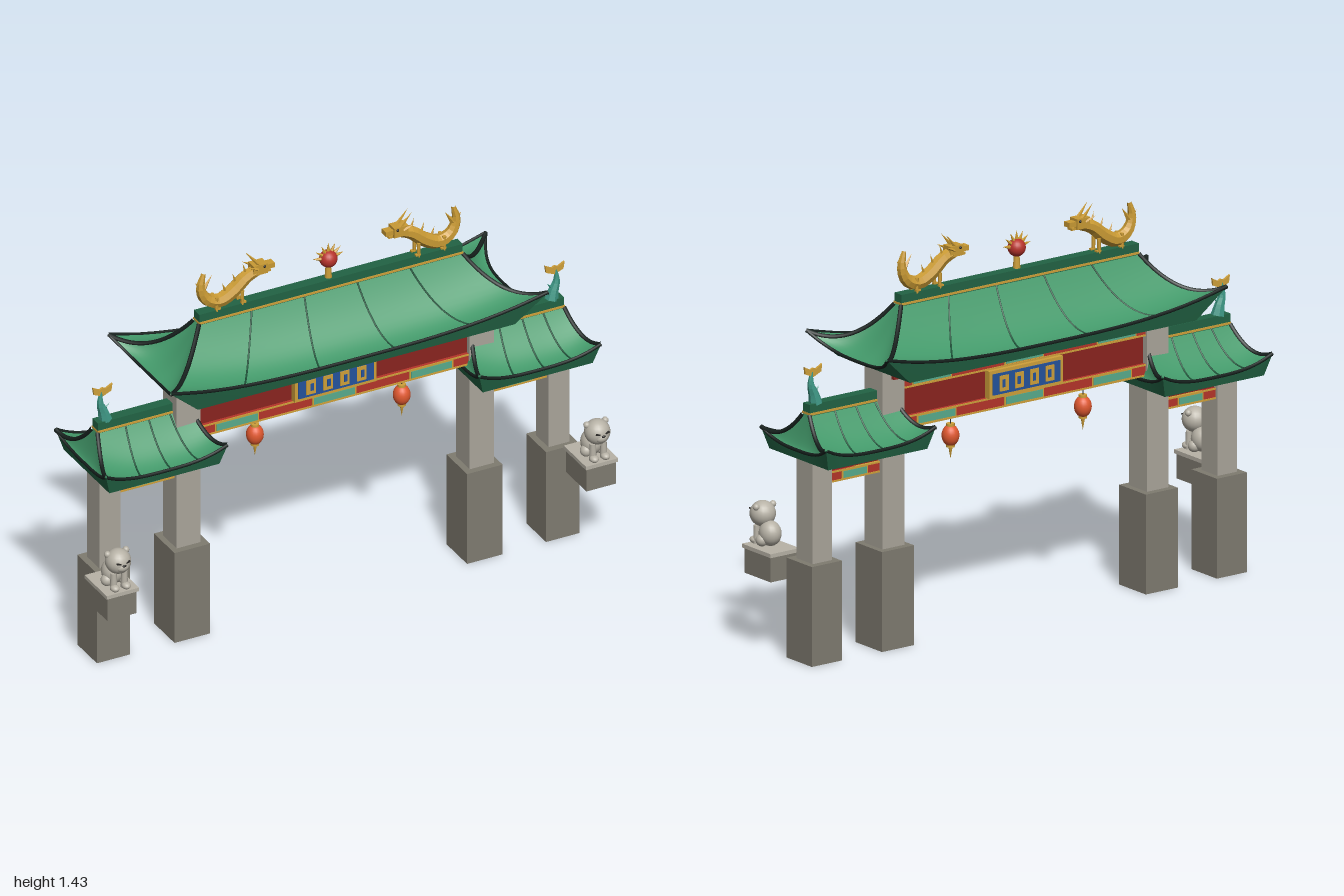
import * as THREE from 'three';
import { ParametricGeometry } from 'three/addons/geometries/ParametricGeometry.js';

const mat = (color, flatShading = false, side = THREE.FrontSide) =>
  new THREE.MeshStandardMaterial({ color, flatShading, side });
const M = {
  tile: mat(0x43996a, false, THREE.DoubleSide), darkTile: mat(0x226344, false, THREE.DoubleSide), rib: mat(0x1c5238),
  trim: mat(0x16201d), red: mat(0xb5352a), deepRed: mat(0x8a241f), gold: mat(0xcfa03a),
  goldFacet: mat(0xc99a34, true), teal: mat(0x58ab8c), fish: mat(0x3d9583, true), blue: mat(0x24539c),
  column: mat(0xaaa59a), base: mat(0x7f7b70), lion: mat(0xb8b3a7), dark: mat(0x2c2a28),
  lantern: mat(0xe0582f), pearl: mat(0xb8332b),
};
const lerp = THREE.MathUtils.lerp;
const V = (x, y, z = 0) => new THREE.Vector3(x, y, z);

function add(parent, name, geo, material, x = 0, y = 0, z = 0) {
  const m = new THREE.Mesh(geo, material);
  m.name = name;
  m.position.set(x, y, z);
  parent.add(m);
  return m;
}
const box = (p, name, m, w, h, d, x, y, z = 0) => add(p, name, new THREE.BoxGeometry(w, h, d), m, x, y, z);
const ball = (p, name, m, r, x, y, z = 0, sx = 1, sy = 1, sz = 1) => {
  const s = add(p, name, new THREE.SphereGeometry(r, 20, 14), m, x, y, z);
  s.scale.set(sx, sy, sz);
  return s;
};
// Cone whose base sits at a and whose tip is at b
function spike(p, name, m, a, b, r, sides = 6) {
  const d = b.clone().sub(a);
  const c = add(p, name, new THREE.ConeGeometry(r, d.length(), sides), m);
  c.position.copy(a).addScaledVector(d, 0.5);
  c.quaternion.setFromUnitVectors(V(0, 1, 0), d.normalize());
  return c;
}
function group(parent, name, x = 0, y = 0, z = 0) {
  const g = new THREE.Group();
  g.name = name;
  g.position.set(x, y, z);
  parent.add(g);
  return g;
}
const tube = (pts, r, seg = 24, sides = 6) =>
  new THREE.TubeGeometry(new THREE.CatmullRomCurve3(pts), seg, r, sides);
// Tube whose radius follows a rule along its length
function taperedTube(pts, radius, seg, sides) {
  const curve = new THREE.CatmullRomCurve3(pts);
  const geo = new THREE.TubeGeometry(curve, seg, 1, sides);
  const pos = geo.attributes.position, v = V(0, 0);
  for (let i = 0; i < pos.count; i++) {
    const u = Math.floor(i / (sides + 1)) / seg, c = curve.getPointAt(u);
    v.fromBufferAttribute(pos, i).sub(c).multiplyScalar(radius(u)).add(c);
    pos.setXYZ(i, v.x, v.y, v.z);
  }
  geo.computeVertexNormals();
  return geo;
}

// Hipped roof with sagging slopes and upswept corners
function roof(parent, name, x, o) {
  const g = group(parent, name, x);
  const rz = 0.018;
  const height = (s, t) => o.top - o.drop * (1 - (1 - t) ** 2) + o.lift * t * t * Math.abs(s) ** 3;
  const reach = (eave, tip, s) => eave + (tip - eave) * Math.abs(s) ** 3;
  const long = (s, t) => V(s * lerp(o.ridge, o.tipX, t), height(s, t), lerp(rz, reach(o.eaveZ, o.tipZ, s), t));
  const end = (s, t) => V(lerp(o.ridge, reach(o.eaveX, o.tipX, s), t), height(s, t), -s * lerp(rz, o.tipZ, t));
  const line = (f) => Array.from({ length: 13 }, (_, i) => f(i / 12));
  for (const turn of [0, Math.PI]) {
    const half = group(g, 'roofHalf');
    half.rotation.y = turn;
    for (const [slope, rim] of [
      [long, (s) => V(s * o.botX, o.bottom, o.botZ)],
      [end, (s) => V(o.botX, o.bottom, -s * o.botZ)],
    ]) {
      add(half, 'tiledSlope', new ParametricGeometry((u, v, p) => p.copy(slope(u * 2 - 1, 1 - v)), 24, 12), M.tile);
      add(half, 'eaveFascia', new ParametricGeometry(
        (u, v, p) => p.copy(rim(u * 2 - 1)).lerp(slope(u * 2 - 1, 1), v), 24, 1), M.darkTile);
      add(half, 'eaveTrim', tube(line((u) => slope(u * 2 - 1, 1)), 0.006), M.trim);
    }
    for (const s of [-1, 1]) add(half, 'hipTrim', tube(line((t) => long(s, t)), 0.008), M.trim);
    for (const s of o.ribs) add(half, 'tileRib', tube(line((t) => long(s, t)), 0.0035), M.rib);
  }
  box(g, 'soffit', M.darkTile, o.botX * 2, 0.004, o.botZ * 2, 0, o.bottom + 0.002);
  box(g, 'ridge', M.darkTile, o.ridge * 2, 0.046, 0.04, 0, o.top + 0.015);
  box(g, 'ridgeBand', M.gold, o.ridge * 2 + 0.002, 0.008, 0.046, 0, o.top + 0.004);
}

// Red beam with gold edges and painted panels on both faces
function paintedBeam(parent, name, x, y, w, h, d, panels, panelW) {
  const g = group(parent, name, x, y);
  box(g, 'beam', M.red, w, h, d, 0, 0);
  for (const s of [-1, 1]) box(g, 'goldEdge', M.gold, w, 0.006, d + 0.006, 0, s * (h / 2 - 0.003));
  for (const px of panels) {
    box(g, 'panelFrame', M.gold, panelW + 0.012, h * 0.72, d + 0.004, px, 0);
    box(g, 'paintedPanel', M.teal, panelW, h * 0.6, d + 0.008, px, 0);
  }
}
function brackets(parent, x, y, w, n, h, z) {
  for (let i = 0; i < n; i++) for (const s of [-1, 1]) {
    const bx = x + (i / (n - 1) - 0.5) * w;
    box(parent, 'eaveBracket', M.deepRed, 0.024, h, 0.03, bx, y, s * z);
    box(parent, 'bracketCap', M.red, 0.032, h * 0.4, 0.04, bx, y + h * 0.3, s * z);
  }
}

// Ridge dragon, looking toward +x
function dragon(parent, x) {
  const g = group(parent, 'ridgeDragon');
  g.scale.x = 1;
  if (x > 0) g.rotation.y = Math.PI;
  add(g, 'dragonBody', taperedTube([V(-0.488, 1.4), V(-0.5, 1.345), V(-0.478, 1.295), V(-0.43, 1.276),
    V(-0.375, 1.3), V(-0.32, 1.343), V(-0.26, 1.362)],
    (u) => 0.004 + 0.023 * Math.sin(Math.PI * Math.min(1, 0.03 + u * 0.78)) ** 0.8, 18, 7), M.goldFacet);
  spike(g, 'tailFin', M.goldFacet, V(-0.495, 1.33), V(-0.52, 1.37), 0.012, 4);
  spike(g, 'tailFin', M.goldFacet, V(-0.492, 1.33), V(-0.455, 1.385), 0.012, 4);
  for (const px of [-0.4, -0.36, -0.32]) spike(g, 'backFin', M.goldFacet, V(px, 1.3 + (px + 0.4) * 0.6), V(px - 0.015, 1.34 + (px + 0.4) * 0.7), 0.008, 4);
  box(g, 'head', M.goldFacet, 0.055, 0.038, 0.042, -0.275, 1.366);
  box(g, 'snout', M.goldFacet, 0.04, 0.018, 0.03, -0.237, 1.367);
  box(g, 'jaw', M.goldFacet, 0.03, 0.008, 0.024, -0.245, 1.349);
  for (const s of [-1, 1]) {
    spike(g, 'horn', M.goldFacet, V(-0.275, 1.38, s * 0.012), V(-0.318, 1.43, s * 0.015), 0.008, 5);
    spike(g, 'ear', M.goldFacet, V(-0.285, 1.37, s * 0.017), V(-0.325, 1.388, s * 0.027), 0.008, 4);
    ball(g, 'eye', M.dark, 0.005, -0.26, 1.376, s * 0.021);
    for (const px of [-0.345, -0.445]) {
      add(g, 'leg', new THREE.CylinderGeometry(0.007, 0.006, 0.055, 6), M.goldFacet, px, 1.272, s * 0.016);
      box(g, 'claw', M.goldFacet, 0.02, 0.006, 0.012, px + 0.004, 1.254, s * 0.016);
    }
  }
}

// Seated guardian on a floating plinth, facing +z
function guardian(parent, x) {
  const g = group(parent, 'guardianLion', x, 0, 0.16);
  box(g, 'plinth', M.base, 0.115, 0.092, 0.15, 0, 0.32);
  box(g, 'plinthSlab', M.lion, 0.126, 0.014, 0.164, 0, 0.371);
  ball(g, 'body', M.lion, 0.043, 0, 0.423, 0.004, 0.9, 1.05, 0.98);
  ball(g, 'head', M.lion, 0.046, 0, 0.485, 0.046);
  ball(g, 'muzzle', M.lion, 0.022, 0, 0.477, 0.077, 1.1, 0.85, 0.8);
  ball(g, 'nose', M.dark, 0.006, 0, 0.488, 0.094, 1.3, 0.7, 0.6);
  for (const s of [-1, 1]) {
    ball(g, 'haunch', M.lion, 0.022, s * 0.027, 0.4, 0.015);
    add(g, 'foreleg', new THREE.CylinderGeometry(0.011, 0.013, 0.065, 10), M.lion, s * 0.021, 0.412, 0.053);
    ball(g, 'paw', M.lion, 0.016, s * 0.022, 0.39, 0.064, 1, 0.8, 1.2);
    ball(g, 'ear', M.lion, 0.012, s * 0.036, 0.515, 0.036);
    const eye = box(g, 'eye', M.dark, 0.016, 0.005, 0.006, s * 0.018, 0.496, 0.087);
    eye.rotation.z = s * 0.25;
  }
}

function lantern(parent, x) {
  const g = group(parent, 'lantern', x);
  add(g, 'cord', new THREE.CylinderGeometry(0.002, 0.002, 0.05, 6), M.dark, 0, 0.757);
  ball(g, 'lanternBody', M.lantern, 0.031, 0, 0.7, 0, 1, 1.25, 1);
  for (const y of [0.738, 0.663]) add(g, 'lanternCap', new THREE.CylinderGeometry(0.015, 0.015, 0.01, 12), M.gold, 0, y);
  spike(g, 'tassel', M.gold, V(0, 0.66), V(0, 0.615), 0.008, 8);
}

// Curved fish finial with a forked golden tail
function fishFinial(parent, side) {
  const g = group(parent, 'fishFinial', side * 0.88);
  const k = side;
  add(g, 'fishBody', taperedTube([V(-k * 0.008, 0.922), V(0, 0.955), V(k * 0.012, 0.99), V(k * 0.008, 1.045)],
    (u) => 0.022 * (1 - u) + 0.003, 10, 7), M.fish);
  const f = new THREE.Shape([[0, -0.02], [0.034, -0.005], [0.038, 0.022], [0.012, 0.008], [0, 0.014],
    [-0.012, 0.008], [-0.038, 0.022], [-0.034, -0.005]].map(([a, b]) => new THREE.Vector2(a, b)));
  add(g, 'fishTail', new THREE.ExtrudeGeometry(f, { depth: 0.008, bevelEnabled: false }), M.gold, k * 0.004, 1.038, -0.004);
  spike(g, 'fin', M.fish, V(k * 0.005, 0.955), V(-k * 0.025, 0.985), 0.01, 4);
}

export function createModel() {
  const model = new THREE.Group();
  model.name = 'ceremonialGate';
  const gate = group(model, 'gate', 0, 0, -0.01);

  // Roofs
  roof(gate, 'mainRoof', 0, { ridge: 0.515, top: 1.213, drop: 0.178, lift: 0.07, bottom: 0.998, eaveX: 0.685, eaveZ: 0.215,
    tipX: 0.738, tipZ: 0.23, botX: 0.62, botZ: 0.208, ribs: [-0.6, -0.2, 0.2, 0.6] });

  for (const s of [-1, 1]) {
    roof(gate, 'sideRoof', s * 0.73, { ridge: 0.182, top: 0.888, drop: 0.122, lift: 0.045, bottom: 0.732, eaveX: 0.222, eaveZ: 0.175,
      tipX: 0.238, tipZ: 0.187, botX: 0.215, botZ: 0.168, ribs: [-0.4, 0.1, 0.55] });

    // Pillars
    box(gate, 'outerBase', M.base, 0.13, 0.36, 0.145, s * 0.878, 0.18);
    box(gate, 'innerBase', M.base, 0.139, 0.36, 0.152, s * 0.572, 0.18);
    box(gate, 'outerPillar', M.column, 0.083, 0.45, 0.092, s * 0.878, 0.58);
    box(gate, 'innerPillar', M.column, 0.094, 0.64, 0.102, s * 0.573, 0.68);

    // Side span
    box(gate, 'sidePanel', M.deepRed, 0.22, 0.055, 0.05, s * 0.728, 0.695);
    paintedBeam(gate, 'sideBeam', s * 0.728, 0.655, 0.22, 0.04, 0.066, [0], 0.1);
    brackets(gate, s * 0.728, 0.718, 0.17, 5, 0.028, 0.038);

    guardian(model, s * 0.937);
    lantern(gate, s * 0.287);
    dragon(gate, s);
    fishFinial(gate, s);
  }

  // Main span
  box(gate, 'mainPanel', M.deepRed, 1.06, 0.13, 0.06, 0, 0.868);
  paintedBeam(gate, 'upperBeam', 0, 0.945, 1.06, 0.05, 0.084, [-0.4, 0, 0.4], 0.16);
  paintedBeam(gate, 'lowerBeam', 0, 0.797, 1.06, 0.044, 0.084, [-0.38, 0, 0.38], 0.16);
  brackets(gate, 0, 0.983, 1.14, 17, 0.032, 0.05);

  // Plaque on both faces
  for (const s of [-1, 1]) {
    const plaque = group(gate, 'plaque', 0, 0.868, s * 0.042);
    box(plaque, 'plaqueFrame', M.gold, 0.32, 0.1, 0.026, 0, 0);
    box(plaque, 'plaqueField', M.blue, 0.294, 0.076, 0.032, 0, 0);
    for (let i = 0; i < 4; i++) {
      const x = (i - 1.5) * 0.066;
      box(plaque, 'plaqueTile', M.gold, 0.037, 0.056, 0.038, x, 0);
      box(plaque, 'tileInset', M.blue, 0.013, 0.028, 0.042, x + 0.003, 0);
    }
  }

  // Flaming pearl
  const pearl = group(gate, 'flamingPearl', 0, 1.325);
  ball(pearl, 'pearl', M.pearl, 0.032, 0, 0);
  add(pearl, 'stem', new THREE.CylinderGeometry(0.01, 0.014, 0.06, 8), M.gold, 0, -0.055);
  for (let i = -3; i <= 3; i++) {
    const a = i * 0.46, d = V(Math.sin(a), Math.cos(a));
    spike(pearl, 'flame', M.goldFacet, d.clone().multiplyScalar(0.027), d.clone().multiplyScalar(0.062), 0.008, 5);
  }
  return model;
}
